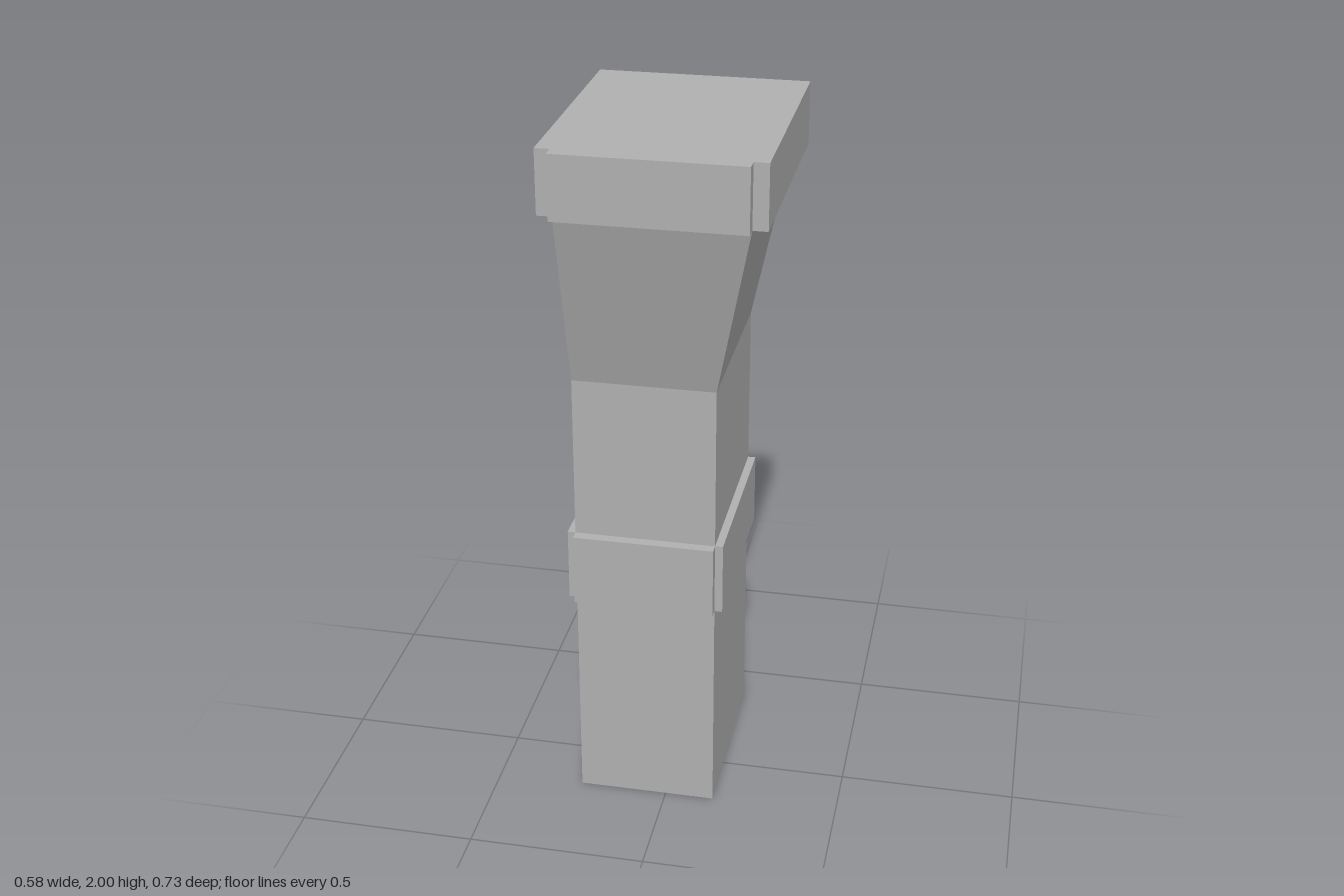
import * as THREE from 'three';

const BACK = -0.365;

// Open sheet joining plan outlines ([x, z] points) stacked at given heights
function wallSheet(levels) {
  const pos = [];
  for (let l = 0; l < levels.length - 1; l++) {
    const lo = levels[l], hi = levels[l + 1];
    for (let i = 0; i < lo.path.length - 1; i++) {
      const [a, b] = [lo.path[i], lo.path[i + 1]];
      const [d, c] = [hi.path[i], hi.path[i + 1]];
      const A = [a[0], lo.y, a[1]], B = [b[0], lo.y, b[1]];
      const C = [c[0], hi.y, c[1]], D = [d[0], hi.y, d[1]];
      pos.push(...A, ...B, ...C, ...A, ...C, ...D);
    }
  }
  const g = new THREE.BufferGeometry();
  g.setAttribute('position', new THREE.Float32BufferAttribute(pos, 3));
  g.computeVertexNormals();
  return g;
}

// Three-sided plan, open at the back
const shaftPlan = (x0, x1, z) => [[x0, BACK], [x0, z], [x1, z], [x1, BACK]];

// Plan standing proud of the shaft with notched front corners and one back return
const collarPlan = (x0, x1, z, out, proud) => [
  [x0, BACK], [x0 - out, BACK], [x0 - out, z], [x0, z], [x0, z + proud],
  [x1, z + proud], [x1, z], [x1 + out, z], [x1 + out, BACK],
];

// Flat horizontal sheet facing up
function flatSheet(points, y) {
  const shape = new THREE.Shape(points.map(([x, z]) => new THREE.Vector2(x, -z)));
  return new THREE.ShapeGeometry(shape).rotateX(-Math.PI / 2).translate(0, y, 0);
}

export function createModel() {
  const group = new THREE.Group();
  const stone = new THREE.MeshStandardMaterial({ color: 0xb0b0b0, side: THREE.DoubleSide });
  stone.name = 'grey stone';
  const add = (name, geometry) => {
    const mesh = new THREE.Mesh(geometry, stone);
    mesh.name = name;
    group.add(mesh);
  };

  const X0 = -0.252, X1 = 0.14, Z = 0.18;
  const shaft = shaftPlan(X0, X1, Z);

  // Shaft below and above the band, flaring out to the cap
  add('lowerShaft', wallSheet([{ y: 0, path: shaft }, { y: 0.645, path: shaft }]));
  add('upperShaft', wallSheet([
    { y: 0.852, path: shaft },
    { y: 1.315, path: shaft },
    { y: 1.827, path: shaftPlan(-0.25, 0.25, 0.33) },
  ]));

  // Band with a ledge on top, open underneath
  const out = 0.022, proud = 0.03;
  const band = collarPlan(X0, X1, Z, out, proud);
  add('band', wallSheet([{ y: 0.645, path: band }, { y: 0.852, path: band }]));
  const ledges = {
    bandLedgeRight: [X0 - out, X0, BACK, Z],
    bandLedgeLeft: [X1, X1 + out, BACK, Z],
    bandLedgeFront: [X0, X1, Z, Z + proud],
  };
  for (const [name, [a, b, c, d]] of Object.entries(ledges)) {
    add(name, flatSheet([[a, c], [a, d], [b, d], [b, c]], 0.852));
  }

  // Cap rim and its flat top
  const cap = collarPlan(-0.25, 0.25, 0.33, 0.04, 0.037);
  add('capRim', wallSheet([{ y: 1.827, path: cap }, { y: 2, path: cap }]));
  add('capTop', flatSheet(cap.slice(1), 2));

  return group;
}
